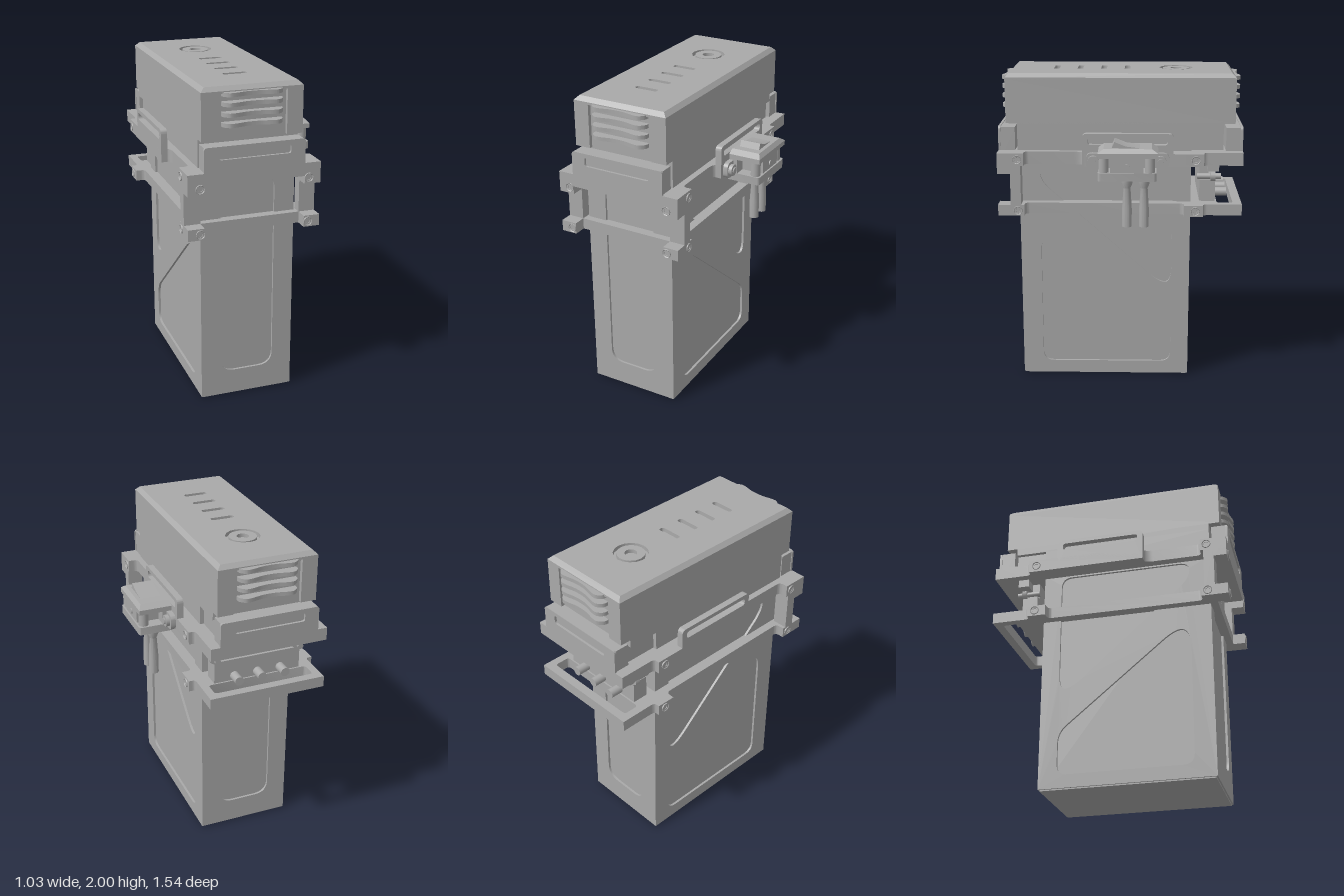
import * as THREE from 'three';
import { toCreasedNormals } from 'three/addons/utils/BufferGeometryUtils.js';

export function createModel() {
  const gray = new THREE.MeshStandardMaterial({ color: 0xa9a9a9 });
  gray.name = 'plain gray';
  const root = new THREE.Group();
  root.name = 'batteryUnit';
  const body = new THREE.Group(); // symmetric parts, centred on their own x = 0
  body.name = 'body';
  body.position.x = -0.105;
  root.add(body);

  const add = (parent, name, geo) => {
    const m = new THREE.Mesh(geo, gray);
    m.name = name;
    parent.add(m);
    return m;
  };
  // box from min/max on each axis
  const box = (parent, name, x0, x1, y0, y1, z0, z1) => {
    const g = new THREE.BoxGeometry(x1 - x0, y1 - y0, z1 - z0);
    g.translate((x0 + x1) / 2, (y0 + y1) / 2, (z0 + z1) / 2);
    return add(parent, name, g);
  };
  // polygon with rounded corners; a third entry in a point overrides the radius
  const poly = (pts, r = 0, Type = THREE.Shape) => {
    const s = new Type();
    const n = pts.length;
    pts.forEach((p, i) => {
      const v = new THREE.Vector2(p[0], p[1]);
      const a = new THREE.Vector2(...pts[(i + n - 1) % n].slice(0, 2)).sub(v);
      const b = new THREE.Vector2(...pts[(i + 1) % n].slice(0, 2)).sub(v);
      const rad = p[2] ?? r;
      const s0 = a.setLength(Math.min(rad, a.length() / 2)).add(v);
      const s1 = b.setLength(Math.min(rad, b.length() / 2)).add(v);
      if (i === 0) s.moveTo(s0.x, s0.y); else s.lineTo(s0.x, s0.y);
      if (rad > 0) s.quadraticCurveTo(v.x, v.y, s1.x, s1.y);
    });
    s.closePath();
    return s;
  };
  const rect = (x0, x1, y0, y1) => [[x0, y0], [x1, y0], [x1, y1], [x0, y1]];
  // extrude along an axis: 'x' uses (-z, y), 'y' uses (x, -z), 'z' uses (x, y)
  const plate = (parent, name, axis, shape, from, to, holes = []) => {
    shape.holes = holes;
    let g = new THREE.ExtrudeGeometry(shape, { depth: to - from, bevelEnabled: false, curveSegments: 8 });
    g.translate(0, 0, from);
    if (axis === 'x') g.rotateY(Math.PI / 2);
    if (axis === 'y') g.rotateX(-Math.PI / 2);
    return add(parent, name, toCreasedNormals(g, 0.5));
  };
  const circle = (x, y, r) => new THREE.Path().absarc(x, y, r, 0, Math.PI * 2);
  const cyl = (parent, name, r0, r1, h, axis, x, y, z, sides = 24) => {
    const m = add(parent, name, new THREE.CylinderGeometry(r0, r1, h, sides));
    if (axis === 'x') m.rotation.z = -Math.PI / 2;
    if (axis === 'z') m.rotation.x = Math.PI / 2;
    m.position.set(x, y, z);
    return m;
  };
  // dished screw head, facing +y before it is turned
  const screw = (parent, axis, sign, x, y, z) => {
    const pts = [[0, -0.004], [0.012, -0.004], [0.014, 0.002], [0.022, 0.002], [0.026, 0.006], [0.028, 0]];
    const g = new THREE.LatheGeometry(pts.map(p => new THREE.Vector2(...p)).reverse(), 20);
    const m = add(parent, 'screwHead', toCreasedNormals(g, 0.5));
    m.material = gray;
    if (axis === 'x') m.rotation.z = -sign * Math.PI / 2;
    else m.rotation.x = sign * Math.PI / 2;
    m.position.set(x, y, z);
  };

  // battery case: core with pocketed panels on four sides
  const d = 0.015;
  box(body, 'caseCore', -0.296 + d, 0.296 - d, 0.002, 1.46, -0.445 + d, 0.64 - d);
  box(body, 'caseBottom', -0.286, 0.286, 0, 0.02, -0.435, 0.63);
  const lowPocket = [[-0.51, 0.09], [0.33, 0.09], [0.33, 0.36], [-0.43, 0.99, 0.13], [-0.51, 0.93]];
  const highPocket = [[-0.51, 1.43], [-0.51, 1.32, 0.09], [0.25, 0.645, 0.1], [0.33, 0.65, 0.1], [0.33, 1.43]];
  for (const s of [-1, 1]) {
    const x = s > 0 ? 0.296 - d : -0.296;
    plate(body, 'casePanelSide', 'x', poly(rect(-0.64, 0.445, 0.008, 1.46)), x, x + d,
      [poly(lowPocket, 0.07, THREE.Path), poly(highPocket, 0.07, THREE.Path)]);
    const z = s > 0 ? 0.64 - d : -0.445;
    plate(body, 'casePanelEnd', 'z', poly(rect(-0.296, 0.296, 0.008, 1.46)), z, z + d,
      [poly(rect(-0.17, 0.17, 0.165, 1.43), 0.09, THREE.Path)]);
  }

  // cap: narrow lower part, notched upper part, chamfered lid
  box(body, 'capSkirt', -0.31, 0.31, 1.5, 1.65, -0.445, 0.645);
  box(body, 'capSkirtBack', -0.285, 0.285, 1.5, 1.65, -0.645, -0.445);
  box(body, 'capSkirtTop', -0.31, 0.31, 1.64, 1.7, -0.645, 0.645);
  const notched = [];
  for (const [sx, sz] of [[1, 1], [-1, 1], [-1, -1], [1, -1]]) {
    const corner = [[0.31 * sx, 0.715 * sz], [0.212 * sx, 0.715 * sz], [0.212 * sx, 0.69 * sz]];
    notched.push(...(sx * sz > 0 ? corner : corner.reverse()));
  }
  plate(body, 'capWalls', 'y', poly(notched), 1.69, 1.965);
  box(body, 'capLidEdge', -0.31, 0.31, 1.96, 1.975, -0.715, 0.715);
  const chamfer = new THREE.CylinderGeometry(1, 1, 0.025, 4, 1, true, Math.PI / 4);
  const cp = chamfer.attributes.position;
  for (let i = 0; i < cp.count; i++) {
    const inset = cp.getY(i) > 0 ? 0.025 : 0;
    cp.setX(i, Math.sign(cp.getX(i)) * (0.31 - inset));
    cp.setZ(i, Math.sign(cp.getZ(i)) * (0.715 - inset));
  }
  chamfer.translate(0, 1.9875, 0);
  add(body, 'capChamfer', toCreasedNormals(chamfer, 0.1));
  const lidHoles = [-0.04, 0.11, 0.26, 0.41].map(z => poly(rect(-0.075, 0.075, -z - 0.018, -z + 0.018), 0.018, THREE.Path));
  lidHoles.push(circle(0, 0.35, 0.105));
  plate(body, 'capLid', 'y', poly(rect(-0.285, 0.285, -0.69, 0.69)), 1.97, 2, lidHoles);
  const button = new THREE.Shape().absarc(0, 0.35, 0.085, 0, Math.PI * 2);
  plate(body, 'capButton', 'y', button, 1.97, 1.998, [circle(0, 0.35, 0.037)]);

  // wavy grip ribs at both ends of the cap
  const wave = [[-0.185, 0.68], [-0.185, 0.72], [-0.15, 0.753], [-0.11, 0.75], [-0.05, 0.735], [0, 0.732],
    [0.05, 0.735], [0.11, 0.75], [0.15, 0.753], [0.185, 0.72], [0.185, 0.68]];
  for (const s of [-1, 1]) for (const y of [1.78, 1.84, 1.9, 1.957]) {
    const pts = wave.map(([x, z]) => [x * s, -z * s]);
    plate(body, 'gripRib', 'y', poly(pts, 0.02), y - 0.012, y + 0.012);
  }

  // upper frame
  const mirrored = half => [...half, ...half.map(([x, z, r]) => [-x, z, r]).reverse()];
  const upper = mirrored([[0.41, -0.765], [0.41, -0.6], [0.35, -0.6, 0.03], [0.35, -0.23, 0.06], [0.41, -0.23, 0.01],
    [0.41, 0.52], [0.37, 0.52, 0.03], [0.37, 0.765]]);
  plate(body, 'upperFrame', 'y', poly(upper, 0), 1.44, 1.52);
  // lower frame, open behind the case and notched at the front
  const lower = mirrored([[0.31, -0.685], [0.31, -0.765], [0.41, -0.765], [0.41, -0.6], [0.35, -0.6, 0.03],
    [0.35, 0.4, 0.03], [0.41, 0.4], [0.41, 0.52], [0.37, 0.52, 0.03], [0.37, 0.765]]);
  plate(body, 'lowerFrame', 'y', poly(lower, 0), 1.12, 1.19, [poly(rect(-0.32, 0.32, 0.61, 0.71), 0.02, THREE.Path)]);

  // end lips with a slot
  for (const s of [-1, 1]) {
    const z = s > 0 ? [0.66, 0.75, 0.765] : [-0.75, -0.66, -0.765];
    box(body, 'endLip', -0.305, 0.305, 1.47, 1.665, z[0], z[1]);
    const face = [Math.min(z[2], s * 0.75), Math.max(z[2], s * 0.75)];
    plate(body, 'endLipFace', 'z', poly(rect(-0.31, 0.31, 1.46, 1.67), 0.02), face[0], face[1],
      [poly(rect(-0.22, 0.22, 1.59, 1.645), 0.015, THREE.Path)]);
  }

  for (const s of [-1, 1]) {
    const span = (a, b) => s > 0 ? [a, b] : [-b, -a];
    // side lips
    const [x0, x1] = span(0.37, 0.41);
    plate(body, 'sideLip', 'x', poly([[-0.235, 1.44, 0], [0.33, 1.44, 0], [0.33, 1.645], [-0.235, 1.645]], 0.03), x0, x1,
      [poly(rect(-0.2, 0.295, 1.575, 1.62), 0.02, THREE.Path)]);
    // front lugs and the posts between the frames
    const [a, b] = span(0.31, 0.41);
    box(body, 'frontLug', a, b, 1.39, 1.52, 0.685, 0.765);
    box(body, 'frontPost', a, b, 1.15, 1.46, 0.62, 0.685);
    // screws
    for (const y of [1.43, 1.155]) screw(body, 'z', 1, s * 0.335, y, 0.766);
    for (const y of [1.48, 1.155]) {
      screw(body, 'x', s, s * 0.411, y, 0.64);
      screw(body, 'x', s, s * 0.411, y, -0.47);
    }
    // rear terminal screws
    cyl(body, 'terminalPin', 0.018, 0.018, 0.15, 'z', s * 0.27, 1.35, -0.56);
    cyl(body, 'terminalNut', 0.035, 0.035, 0.03, 'z', s * 0.27, 1.35, -0.585, 6);
    box(body, 'terminalBracket', ...span(0.22, 0.32), 1.39, 1.44, -0.62, -0.55);
  }

  // rear connector block
  box(body, 'connectorBlock', -0.28, 0.28, 1.17, 1.33, -0.6, -0.5);
  box(body, 'connectorBack', -0.24, 0.24, 1.3, 1.45, -0.56, -0.5);
  for (const x of [-0.15, 0, 0.15]) {
    box(body, 'connectorTab', x - 0.03, x + 0.03, 1.38, 1.44, -0.61, -0.55);
    cyl(body, 'connectorPeg', 0.028, 0.028, 0.08, 'z', x, 1.22, -0.64);
  }

  // rocker switch on the left side
  const sw = new THREE.Group();
  sw.name = 'switchUnit';
  root.add(sw);
  const zc = -0.045;
  plate(sw, 'switchFlange', 'x', poly(rect(-0.21, 0.305, 1.43, 1.53), 0.04), 0.3, 0.335);
  for (const z of [0.165, -0.25]) {
    cyl(sw, 'switchBolt', 0.036, 0.036, 0.025, 'x', 0.345, 1.48, z);
    cyl(sw, 'switchBoltHead', 0.02, 0.02, 0.01, 'x', 0.36, 1.48, z, 6);
  }
  plate(sw, 'switchBase', 'y', poly([[0.3, -0.13, 0], [0.51, -0.13], [0.51, 0.225], [0.3, 0.225, 0]], 0.02), 1.395, 1.445);
  box(sw, 'switchCore', 0.3, 0.5, 1.44, 1.54, zc - 0.1, zc + 0.1);
  box(sw, 'switchWall', 0.3, 0.36, 1.44, 1.54, -0.225, 0.13);
  for (const z of [-0.185, 0.095]) cyl(sw, 'switchPillar', 0.03, 0.03, 0.1, 'y', 0.47, 1.49, z);
  box(sw, 'switchTop', 0.3, 0.51, 1.535, 1.565, -0.235, 0.13);
  const crown = box(sw, 'switchCrown', 0.3, 0.51, 1.565, 1.59, -0.235, 0.13).geometry;
  const tp = crown.attributes.position;
  for (let i = 0; i < tp.count; i++) if (tp.getY(i) > 1.58) {
    tp.setX(i, tp.getX(i) > 0.4 ? 0.49 : 0.31);
    tp.setZ(i, zc + (tp.getZ(i) - zc) * 0.8);
  }
  crown.computeVertexNormals();
  plate(sw, 'rocker', 'x', poly([[-0.055, 1.57], [0.14, 1.57], [0.14, 1.588], [0.04, 1.6], [-0.03, 1.628]]), 0.335, 0.465);
  cyl(sw, 'switchPin', 0.018, 0.018, 0.01, 'x', 0.502, 1.48, zc);
  box(sw, 'switchTab', 0.34, 0.4, 1.365, 1.4, 0.04, 0.08);
  // cable ends
  for (const z of [-0.045, -0.15]) {
    const pts = [[0, 1.085], [0.03, 1.085], [0.03, 1.2], [0.022, 1.33], [0.034, 1.36], [0.034, 1.4]];
    const g = new THREE.LatheGeometry(pts.map(p => new THREE.Vector2(...p)), 20);
    add(sw, 'cableEnd', toCreasedNormals(g, 0.5)).position.set(0.4, 0, z);
  }
  return root;
}
